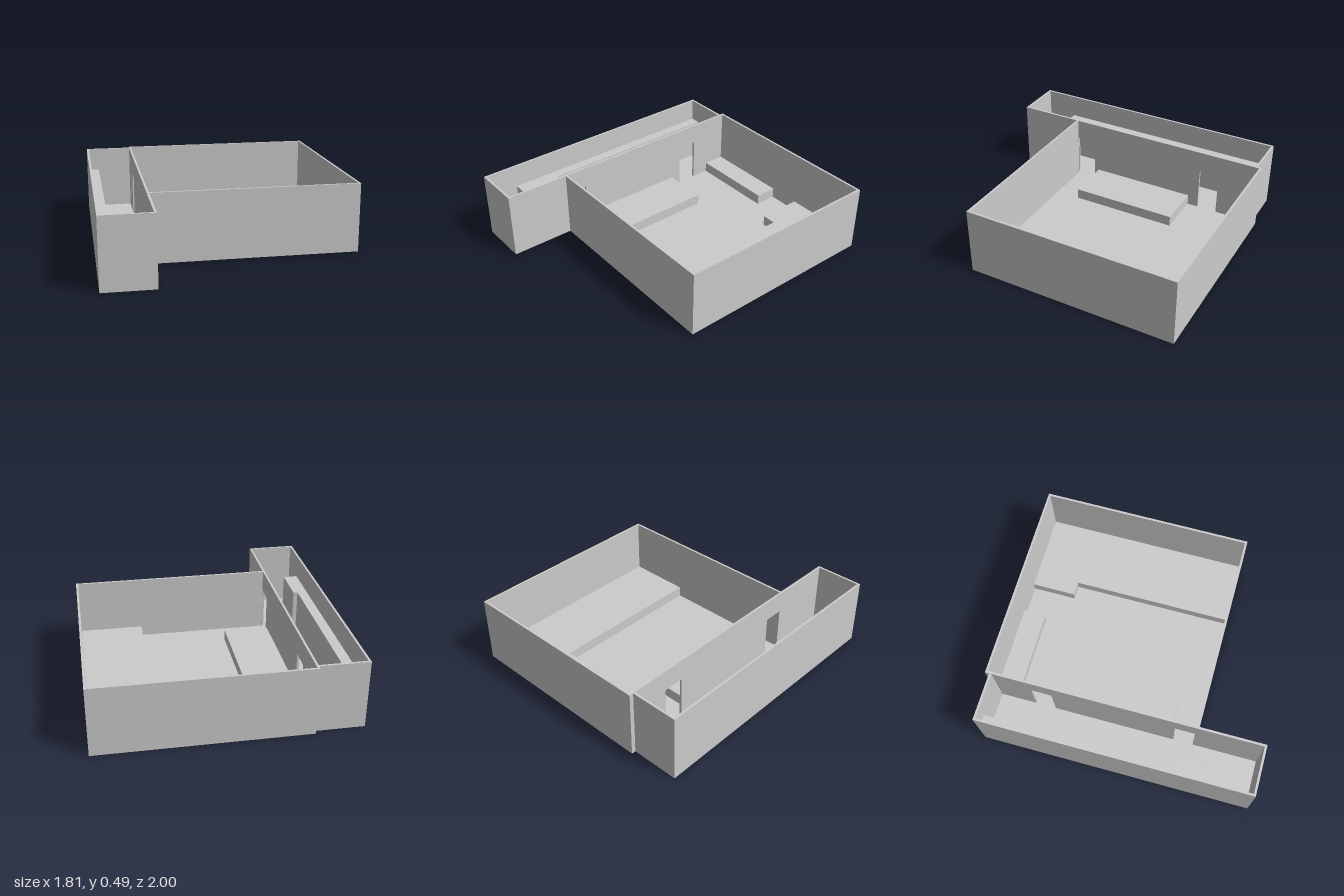
import * as THREE from 'three';

const H = 0.49;      // wall height
const F = 0.015;     // floor thickness
const T = 0.016;     // wall thickness
const X0 = -0.905, XA = -0.561, XB = -0.545, X1 = 0.905; // outer left, shared wall, outer right
const ZM = 0.53, ZN = -0.97;                             // main room front, side room back

const material = new THREE.MeshStandardMaterial({ color: 0xcccccc, flatShading: true });

export function createModel() {
  const model = new THREE.Group();

  const add = (name, geometry) => {
    const mesh = new THREE.Mesh(geometry, material);
    mesh.name = name;
    model.add(mesh);
    return mesh;
  };

  // Box given by its extents on each axis
  const block = (name, x0, x1, z0, z1, y1, y0 = F) => {
    const g = new THREE.BoxGeometry(x1 - x0, y1 - y0, z1 - z0);
    g.translate((x0 + x1) / 2, (y0 + y1) / 2, (z0 + z1) / 2);
    return add(name, g);
  };

  // Upright or flat outline, extruded
  const extrude = (points, depth) => new THREE.ExtrudeGeometry(
    new THREE.Shape(points.map(([x, y]) => new THREE.Vector2(x, y))),
    { depth, bevelEnabled: false });

  // Floor slab under both rooms (outline in x and -z)
  const floor = extrude([
    [X0, -1], [XB, -1], [XB, -ZM], [X1, -ZM], [X1, 1], [XA, 1], [XA, -ZN], [X0, -ZN],
  ], F);
  floor.rotateX(-Math.PI / 2);
  add('floor', floor);

  // Main room walls
  block('mainBackWall', XB, X1, -1, -1 + T, H);
  block('mainFrontWall', XB, X1, ZM - T, ZM, H);
  block('mainLeftWall', X1 - T, X1, -1 + T, ZM - T, H);

  // Side room walls
  block('sideRoomOuterWall', X0, X0 + T, ZN, 1, H);
  block('sideRoomBackWall', X0 + T, XA, ZN, ZN + T, H);
  block('sideRoomFrontWall', X0 + T, XA, 1 - T, 1, H);

  // Shared wall with two doorways down to the floor (outline in -z and y)
  const doorTop = 0.335;
  const outline = [[-1, F]];
  for (const [a, b] of [[-0.51, -0.365], [0.535, 0.685]]) {
    outline.push([a, F], [a, doorTop], [b, doorTop], [b, F]);
  }
  outline.push([1, F], [1, H], [-1, H]);
  const shared = extrude(outline, XB - XA);
  shared.rotateY(Math.PI / 2);
  shared.translate(XA, 0, 0);
  add('sharedWallWithDoorways', shared);

  // Low furniture blocks in the main room
  const low = 0.092;
  block('backBench', XB, 0.09, -1 + T, -0.82, low);
  block('middlePlatform', XB, -0.21, -0.455, 0.33, low);
  block('sidePlatform', 0.425, X1 - T, -0.66, ZM - T, low);
  block('sidePlatformWideEnd', 0.322, X1 - T, -1 + T, -0.66, low);

  // Tall counters along the side room's outer wall
  const tall = 0.32;
  block('longCounter', X0 + T, -0.815, ZN + T, 0.45, tall);
  block('wideCounter', X0 + T, -0.783, 0.45, 0.757, tall);

  return model;
}
